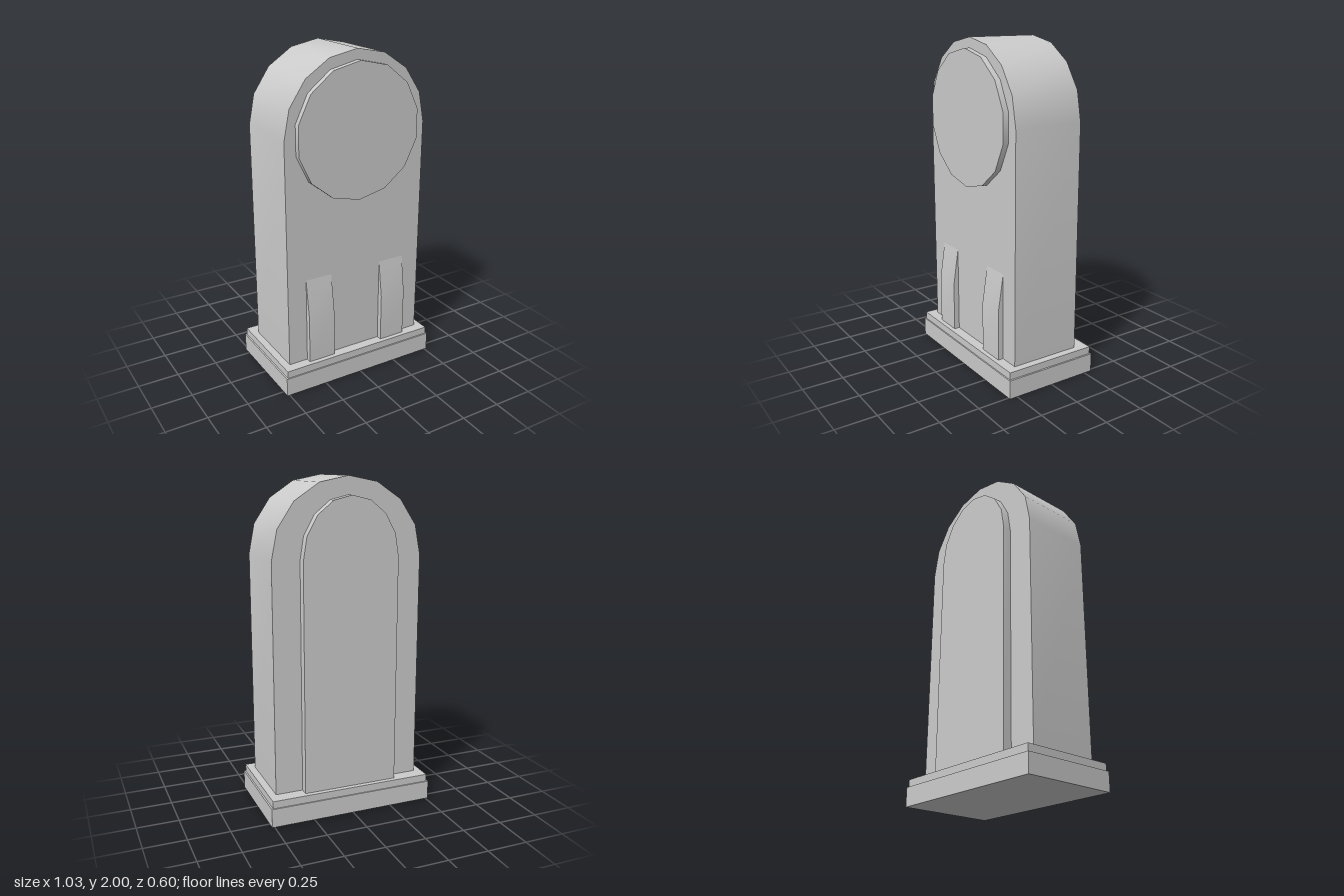
import * as THREE from 'three';
import { toCreasedNormals } from 'three/addons/utils/BufferGeometryUtils.js';

const material = new THREE.MeshStandardMaterial({ color: 0xcccccc });
const BASE_TOP = 0.16;
const ARCH_Y = 1.54;

function addPart(group, name, geometry, x = 0, y = 0, z = 0) {
  const mesh = new THREE.Mesh(geometry, material);
  mesh.name = name;
  mesh.position.set(x, y, z);
  group.add(mesh);
  return mesh;
}

// Extrudes a 2D outline along z, smoothing only shallow edges
function extrude(points, depth) {
  const shape = new THREE.Shape(points.map(([x, y]) => new THREE.Vector2(x, y)));
  const geometry = new THREE.ExtrudeGeometry(shape, { depth, bevelEnabled: false });
  return toCreasedNormals(geometry, 0.5);
}

// Upright slab with an eight-sided rounded top
function archSlab(halfWidth, rise, depth) {
  const points = [[-halfWidth, BASE_TOP], [halfWidth, BASE_TOP]];
  for (let i = 0; i <= 8; i++) {
    const a = (i / 8) * Math.PI;
    points.push([halfWidth * Math.cos(a), ARCH_Y + rise * Math.sin(a)]);
  }
  return extrude(points, depth);
}

export function createModel() {
  const group = new THREE.Group();
  group.name = 'archedMonument';

  // Stepped plinth
  addPart(group, 'plinth', new THREE.BoxGeometry(1.03, 0.115, 0.6), 0, 0.0575, 0);
  addPart(group, 'plinthStep', new THREE.BoxGeometry(1.01, 0.045, 0.585), 0, 0.1375, 0);

  // Arched body and raised back panel
  addPart(group, 'body', archSlab(0.46, 0.46, 0.44), 0, 0, -0.21);
  addPart(group, 'backPanel', archSlab(0.293, 0.355, 0.053), 0, 0, -0.263);

  // Round front disc
  const disc = new THREE.CylinderGeometry(0.4, 0.4, 0.035, 14);
  disc.rotateX(Math.PI / 2);
  addPart(group, 'frontDisc', disc, 0, ARCH_Y, 0.2475);

  // Front buttresses: side profile in (z, y), extruded across x
  const profile = [[0.22, BASE_TOP], [0.264, BASE_TOP], [0.264, 0.46], [0.23, 0.69], [0.22, 0.69]];
  for (const side of [1, -1]) {
    const buttress = extrude(profile, 0.17);
    buttress.translate(0, 0, -0.085);
    buttress.rotateY(-Math.PI / 2);
    addPart(group, side > 0 ? 'leftButtress' : 'rightButtress', buttress, side * 0.255);
  }

  return group;
}
